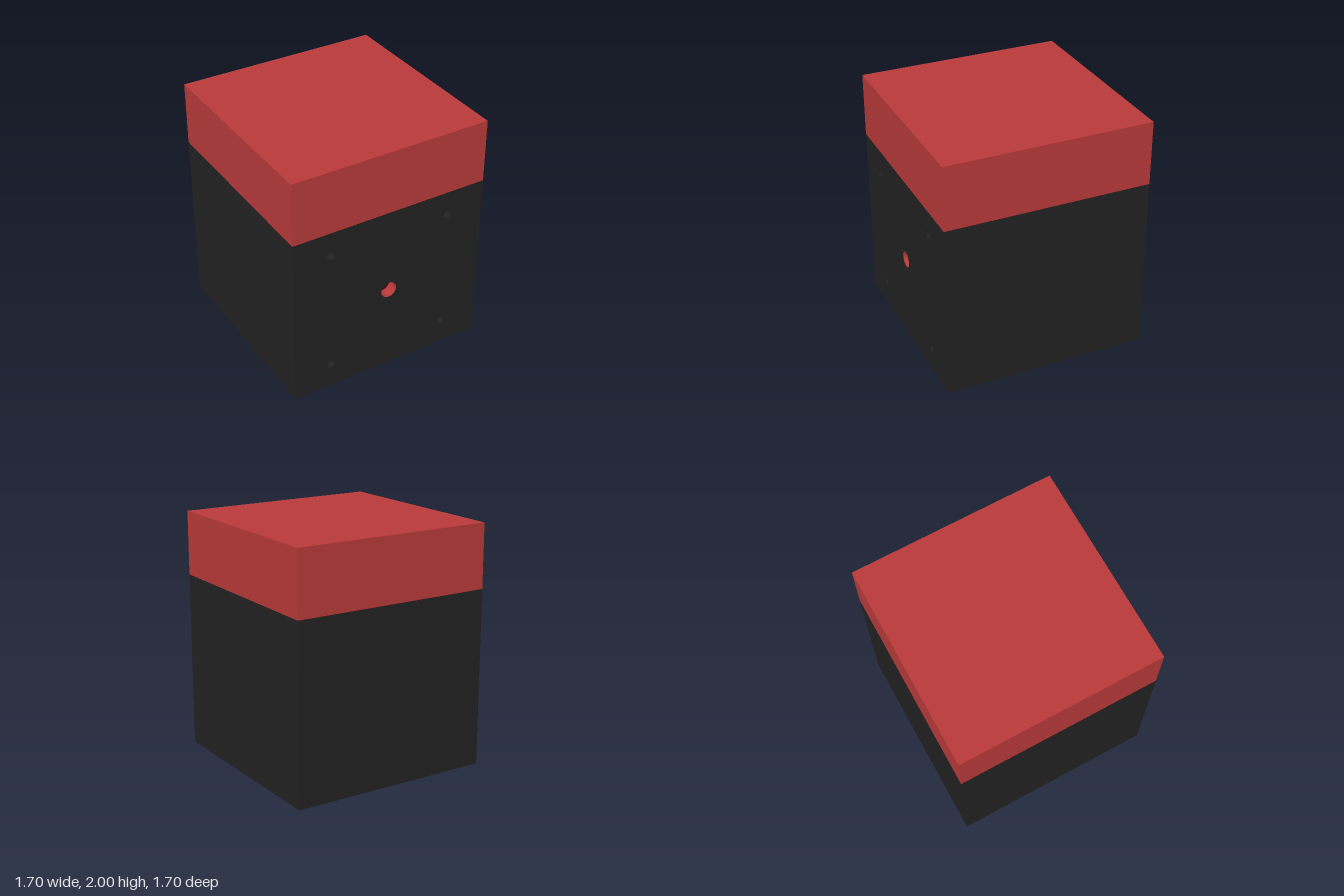
import * as THREE from 'three';

const HALF = 0.85, SEAM = 1.47, BASE = 0.02, PANEL = 0.1;

export function createModel() {
  const model = new THREE.Group();
  const black = new THREE.MeshStandardMaterial({ color: 0x222222 });
  const red = new THREE.MeshStandardMaterial({ color: 0xbb3a3a, side: THREE.DoubleSide });
  const darkRed = new THREE.MeshStandardMaterial({ color: 0x380f0f });
  black.name = 'black';
  red.name = 'red';
  darkRed.name = 'darkRed';

  function add(name, geometry, material, x = 0, y = 0, z = 0, rx = 0) {
    const mesh = new THREE.Mesh(geometry, material);
    mesh.name = name;
    mesh.position.set(x, y, z);
    mesh.rotation.x = rx;
    model.add(mesh);
    return mesh;
  }

  // Rectangular plate pierced by round holes [x, y, radius]
  function plate(y0, y1, depth, holes) {
    const s = new THREE.Shape([[-HALF, y0], [HALF, y0], [HALF, y1], [-HALF, y1]]
      .map(([x, y]) => new THREE.Vector2(x, y)));
    for (const [x, y, r] of holes) {
      s.holes.push(new THREE.Path().absarc(x, y, r, 0, Math.PI * 2, true));
    }
    return new THREE.ExtrudeGeometry(s, { depth, bevelEnabled: false, curveSegments: 24 });
  }

  // Lid and solid core
  add('lid', new THREE.BoxGeometry(2 * HALF, 2 - SEAM, 2 * HALF), red, 0, (2 + SEAM) / 2, 0);
  add('body', new THREE.BoxGeometry(2 * HALF, SEAM - BASE, 2 * HALF - PANEL), black,
    0, (SEAM + BASE) / 2, -PANEL / 2);

  // Front panel: four screw holes around a larger central hole
  const holes = [[0, 0.74, 0.07]];
  for (const x of [-0.525, 0.525]) for (const y of [0.215, 1.265]) holes.push([x, y, 0.035]);
  add('frontPanel', plate(BASE, SEAM, PANEL, holes), black, 0, 0, HALF - PANEL);
  for (const [x, y, r] of holes) {
    add('holeFloor', new THREE.CircleGeometry(r, 24), darkRed, x, y, HALF - PANEL + 0.004);
  }
  add('centreHoleLining', new THREE.CylinderGeometry(0.069, 0.069, PANEL - 0.006, 24, 1, true), red,
    0, 0.74, HALF - PANEL / 2, Math.PI / 2);

  // Base plate with a wide shallow round recess
  add('basePlate', plate(-HALF, HALF, BASE, [[0, 0, 0.44]]), black, 0, BASE, 0, Math.PI / 2);
  add('recessFloor', new THREE.CircleGeometry(0.44, 48), darkRed, 0, BASE - 0.002, 0, Math.PI / 2);
  add('recessLining', new THREE.CylinderGeometry(0.438, 0.438, BASE - 0.003, 48, 1, true), red,
    0, BASE / 2, 0);

  return model;
}
